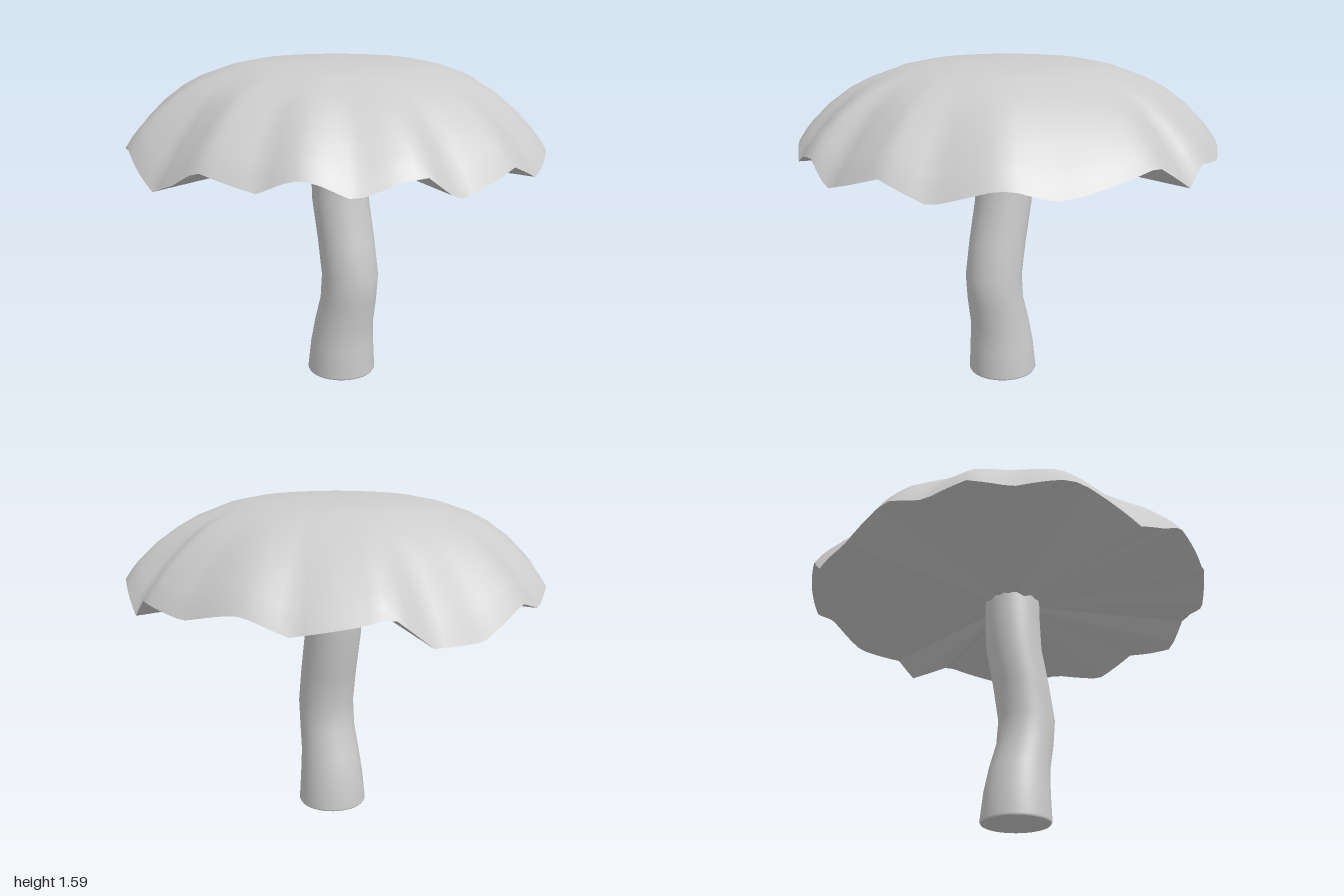
import * as THREE from 'three';
import { mergeVertices } from 'three/addons/utils/BufferGeometryUtils.js';

const RIM_Y = 1.15;

// Height of the ruffled rim: [angle in degrees from the front towards the left, y]
const RIM = [
  [-180, 1.105], [-174, 1.19], [-157, 1.155], [-145, 1.2], [-140, 1.205], [-129, 1.135],
  [-113, 1.18], [-106, 1.21], [-96, 1.075], [-82, 1.07], [-67, 1.19], [-56, 1.135],
  [-45, 1.2], [-34, 1.155], [-22, 1.21], [-17, 1.21], [-8, 1.14], [0, 1.08], [9, 1.135],
  [17, 1.21], [33, 1.15], [41, 1.21], [46, 1.205], [55, 1.135], [66, 1.2], [72, 1.21],
  [80, 1.105], [91, 1.155], [99, 1.195], [112, 1.11], [127, 1.18], [131, 1.18],
  [140, 1.135], [147, 1.15], [167, 1.23], [180, 1.105],
];

// Linear lookup in rows of [key, value, ...]
function lookup(rows, key, column = 1) {
  for (let i = 1; i < rows.length; i++) {
    if (key <= rows[i][0]) {
      const t = (key - rows[i - 1][0]) / (rows[i][0] - rows[i - 1][0]);
      return THREE.MathUtils.lerp(rows[i - 1][column], rows[i][column], Math.max(t, 0));
    }
  }
  return rows[rows.length - 1][column];
}

// Revolves a profile, then lifts and drops it with the rim by a weight of the radius
function ruffledLathe(profile, weight) {
  const geometry = new THREE.LatheGeometry(profile.map(([r, y]) => new THREE.Vector2(r, y)), 120);
  const p = geometry.attributes.position;
  for (let i = 0; i < p.count; i++) {
    const x = p.getX(i), z = p.getZ(i);
    const angle = THREE.MathUtils.radToDeg(Math.atan2(x, z));
    p.setY(i, p.getY(i) + (lookup(RIM, angle) - RIM_Y) * weight(Math.hypot(x, z)));
  }
  geometry.deleteAttribute('uv');
  geometry.deleteAttribute('normal');
  return mergeVertices(geometry, 1e-5);
}

export function createModel() {
  const group = new THREE.Group();
  group.name = 'mushroom';
  const grey = new THREE.MeshStandardMaterial({ color: 0xcccccc });
  grey.name = 'light grey';

  const add = (name, geometry) => {
    geometry.computeVertexNormals();
    const mesh = new THREE.Mesh(geometry, grey);
    mesh.name = name;
    group.add(mesh);
  };

  // Smooth dome, ruffled only towards its rim
  const dome = [
    [1, RIM_Y], [0.965, 1.205], [0.93, 1.25], [0.85, 1.34], [0.75, 1.43], [0.66, 1.49],
    [0.52, 1.545], [0.4, 1.57], [0.2, 1.582], [0, 1.585],
  ];
  add('capTop', ruffledLathe(dome, (r) => THREE.MathUtils.smoothstep(r, 0.55, 1.05) / 0.972));

  // Gills: flat facets fanning straight from the centre to the rim
  add('capUnderside', ruffledLathe([[0, RIM_Y], [1, RIM_Y]], (r) => r).toNonIndexed());

  // Bent stem: [y, centre x, radius]
  const rings = [
    [0, 0.043, 0.165], [0.01, 0.043, 0.171], [0.15, 0.05, 0.16], [0.27, 0.065, 0.148],
    [0.4, 0.098, 0.14], [0.53, 0.11, 0.14], [0.7, 0.08, 0.14], [0.9, 0.035, 0.14],
    [1.05, 0.027, 0.14], [1.2, 0.025, 0.14],
  ];
  const stem = new THREE.LatheGeometry(rings.map(([y, , r]) => new THREE.Vector2(r, y)), 40);
  const p = stem.attributes.position;
  for (let i = 0; i < p.count; i++) p.setX(i, p.getX(i) + lookup(rings, p.getY(i)));
  stem.deleteAttribute('uv');
  stem.deleteAttribute('normal');
  add('stem', mergeVertices(stem, 1e-5));

  // Flat foot closing the stem
  const foot = new THREE.CircleGeometry(rings[0][2], 40);
  foot.rotateX(Math.PI / 2).translate(rings[0][1], 0, 0);
  add('stemBase', foot);

  return group;
}
